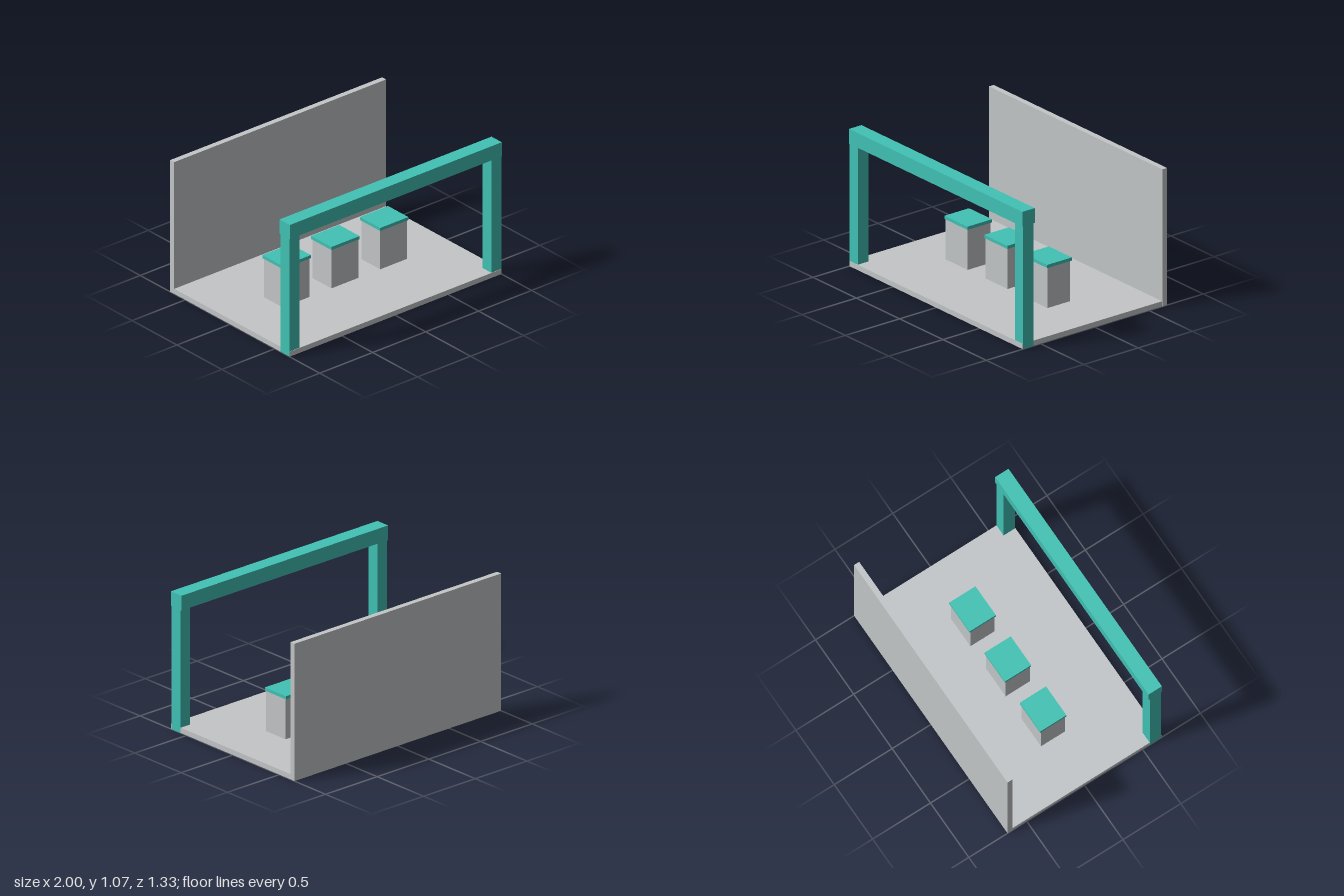
import * as THREE from 'three';

export function createModel() {
  const model = new THREE.Group();
  model.name = 'exhibitionStand';

  const grey = new THREE.MeshStandardMaterial({ color: 0xc3c6c8 });
  grey.name = 'lightGrey';
  const teal = new THREE.MeshStandardMaterial({ color: 0x41c2b4 });
  teal.name = 'teal';

  // Adds a box given its extents along each axis
  function addBox(parent, name, material, [x0, x1], [y0, y1], [z0, z1]) {
    const mesh = new THREE.Mesh(new THREE.BoxGeometry(x1 - x0, y1 - y0, z1 - z0), material);
    mesh.position.set((x0 + x1) / 2, (y0 + y1) / 2, (z0 + z1) / 2);
    mesh.name = name;
    parent.add(mesh);
  }

  // Floor and back wall
  addBox(model, 'floor', grey, [-0.999, 0.999], [0.0005, 0.041], [-0.664, 0.665]);
  addBox(model, 'backWall', grey, [-1, 1], [0.0005, 1.069], [-0.666, -0.622]);

  // Front frame: posts run down through the floor and carry the beam
  const frame = new THREE.Group();
  frame.name = 'frontFrame';
  model.add(frame);
  addBox(frame, 'leftPost', teal, [0.906, 1], [0, 0.96], [0.563, 0.662]);
  addBox(frame, 'rightPost', teal, [-1, -0.906], [0.001, 0.96], [0.563, 0.662]);
  addBox(frame, 'beam', teal, [-1, 1], [0.956, 1.071], [0.553, 0.668]);

  // Row of three pedestals with overhanging tops
  for (const x of [-0.463, -0.003, 0.457]) {
    const pedestal = new THREE.Group();
    pedestal.name = 'pedestal';
    pedestal.position.x = x;
    model.add(pedestal);
    addBox(pedestal, 'pedestalBase', grey, [-0.127, 0.127], [0.04, 0.357], [-0.105, 0.104]);
    addBox(pedestal, 'pedestalTop', teal, [-0.133, 0.133], [0.356, 0.381], [-0.116, 0.111]);
  }

  return model;
}
